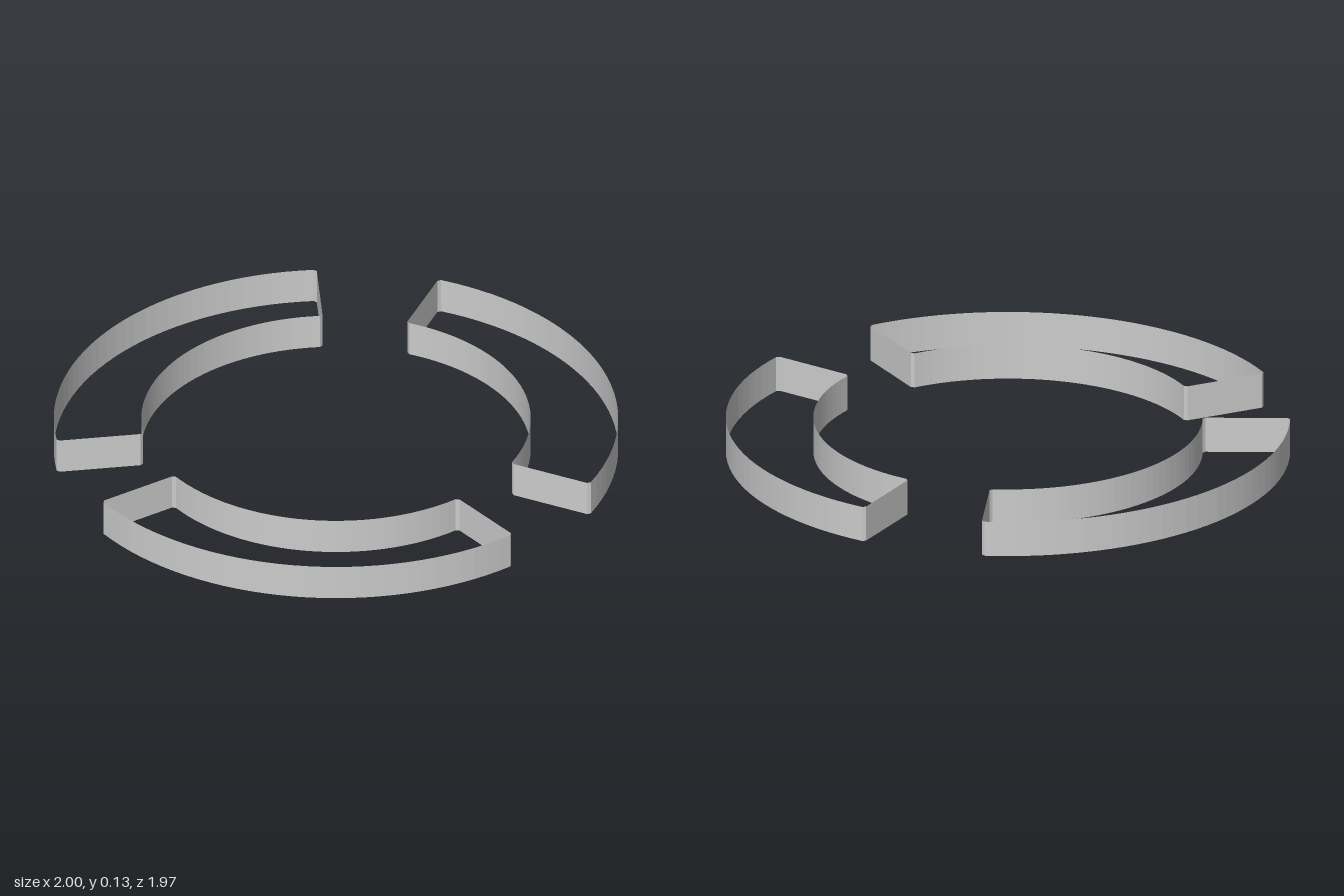
import * as THREE from 'three';

const HEIGHT = 0.13;
const OUTER = 1, INNER = 0.69;
const HALF_GAP = THREE.MathUtils.degToRad(12.6);
const CHAMFER = 0.01;   // tiny cut on the four corners of each segment
const STEPS = 32;
const Z_SHIFT = 0.012;

// One concentric arc; angle is measured from +z towards +x
function arc(radius, from, to) {
  const trim = CHAMFER / radius * Math.sign(to - from);
  const points = [];
  for (let i = 0; i <= STEPS; i++) {
    const a = THREE.MathUtils.lerp(from + trim, to - trim, i / STEPS);
    points.push([radius * Math.sin(a), radius * Math.cos(a)]);
  }
  return points;
}

// Point on a radial end
const endPoint = (r, a) => [r * Math.sin(a), r * Math.cos(a)];

// Upright open-topped wall following a closed outline, with flat facets
function wallGeometry(outline) {
  const pos = [];
  outline.forEach(([px, pz], i) => {
    const [qx, qz] = outline[(i + 1) % outline.length];
    pos.push(px, 0, pz, qx, 0, qz, qx, HEIGHT, qz);
    pos.push(px, 0, pz, qx, HEIGHT, qz, px, HEIGHT, pz);
  });
  const geometry = new THREE.BufferGeometry();
  geometry.setAttribute('position', new THREE.Float32BufferAttribute(pos, 3));
  geometry.computeVertexNormals();
  return geometry;
}

export function createModel() {
  const model = new THREE.Group();
  model.name = 'segmentedRing';
  const grey = new THREE.MeshStandardMaterial({ color: 0xcccccc, side: THREE.DoubleSide });
  grey.name = 'light grey';

  // Three equal segments with gaps at the front and the two back sides
  ['leftSegment', 'backSegment', 'rightSegment'].forEach((name, i) => {
    const start = i * Math.PI * 2 / 3 + HALF_GAP;
    const end = (i + 1) * Math.PI * 2 / 3 - HALF_GAP;
    const outline = [
      ...arc(OUTER, start, end),
      endPoint(OUTER - CHAMFER, end), endPoint(INNER + CHAMFER, end),
      ...arc(INNER, end, start),
      endPoint(INNER + CHAMFER, start), endPoint(OUTER - CHAMFER, start),
    ];
    const segment = new THREE.Mesh(wallGeometry(outline), grey);
    segment.name = name;
    segment.position.z = Z_SHIFT;
    model.add(segment);
  });
  return model;
}
